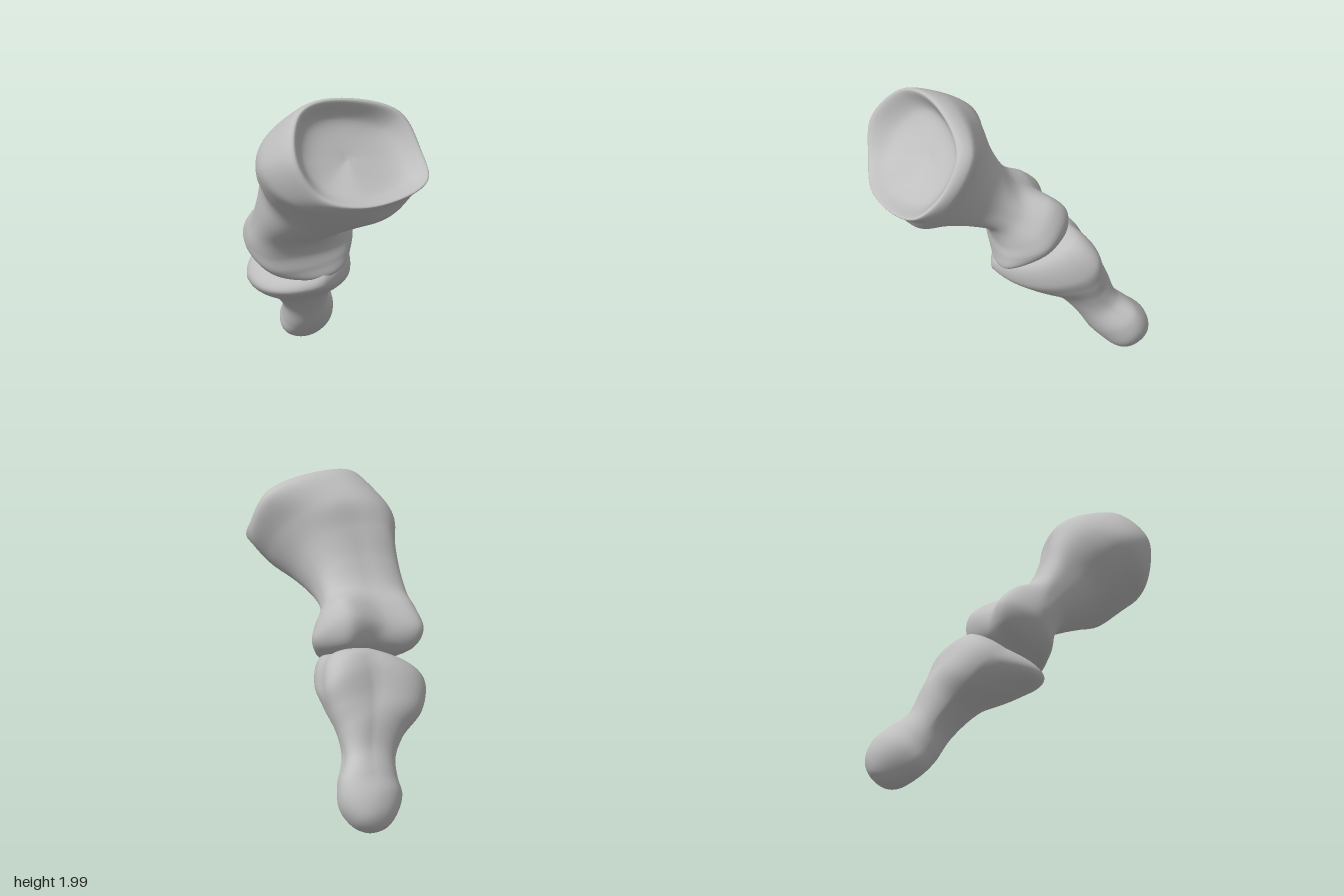
import * as THREE from 'three';
import { mergeVertices } from 'three/addons/utils/BufferGeometryUtils.js';

const SIDES = 72;
const STEPS = 9; // loft steps between two sections

// Free section: closed curve through points running right, dorsal, left, palmar
function curveRing(list) {
  const curve = new THREE.CatmullRomCurve3(list.map((p) => new THREE.Vector3(...p)), true);
  return Array.from({ length: SIDES }, (_, j) => curve.getPoint(j / SIDES));
}

// Oval section through left, dorsal, right and palmar points; square < 1 is boxier
function ovalRing({ L, T, R, B, square = 0.9 }) {
  const [l, t, r, b] = [L, T, R, B].map((p) => new THREE.Vector3(...p));
  const c = l.clone().add(t).add(r).add(b).multiplyScalar(0.25);
  [l, t, r, b].forEach((p) => p.sub(c));
  return Array.from({ length: SIDES }, (_, j) => {
    const a = (j / SIDES) * Math.PI * 2;
    const x = Math.cos(a), y = Math.sin(a);
    return c.clone()
      .addScaledVector(x > 0 ? r : l, Math.pow(Math.abs(x), square))
      .addScaledVector(y > 0 ? t : b, Math.pow(Math.abs(y), square));
  });
}

// Smooth closed loft from a start point through the sections to an end point
function loft(name, start, sections, end, material) {
  const pole = (p) => Array.from({ length: SIDES }, () => new THREE.Vector3(...p));
  const middle = sections.map((s) => (Array.isArray(s) ? curveRing(s) : ovalRing(s)));
  const rings = [pole(start), ...middle, pole(end)];
  const rows = (rings.length - 1) * STEPS;
  const columns = rings[0].map((_, j) => new THREE.CatmullRomCurve3(rings.map((r) => r[j])));
  const position = [], index = [];
  for (let i = 0; i <= rows; i++) {
    for (let j = 0; j < SIDES; j++) {
      position.push(...columns[j].getPoint(i / rows).toArray());
      if (i === rows) continue;
      const k = (j + 1) % SIDES;
      const a = i * SIDES + j, b = i * SIDES + k, c = a + SIDES, d = b + SIDES;
      // single fans of triangles at the two poles
      if (i > 0) index.push(a, c, b);
      if (i < rows - 1) index.push(b, c, d);
    }
  }
  let geometry = new THREE.BufferGeometry();
  geometry.setAttribute('position', new THREE.Float32BufferAttribute(position, 3));
  geometry.setIndex(index);
  geometry = mergeVertices(geometry, 1e-4);
  geometry.computeVertexNormals();
  const mesh = new THREE.Mesh(geometry, material);
  mesh.name = name;
  return mesh;
}

export function createModel() {
  const bone = new THREE.MeshStandardMaterial({ color: 0xbfbfbf });
  bone.name = 'bone grey';
  const model = new THREE.Group();
  model.name = 'fingerBones';

  // Upper bone: hollow socket, rim, flared base, shaft, two-lobed head
  const socket = [[0.33, 1.64, 0.53], [0.27, 1.78, 0.43], [-0.03, 1.86, 0.43], [-0.2, 1.83, 0.5],
    [-0.27, 1.69, 0.62], [-0.19, 1.55, 0.71], [0.02, 1.5, 0.76], [0.31, 1.54, 0.64]];
  const rim = [[0.465, 1.68, 0.58], [0.38, 1.88, 0.46], [-0.06, 1.985, 0.48], [-0.29, 1.94, 0.59],
    [-0.38, 1.74, 0.76], [-0.27, 1.54, 0.82], [0, 1.465, 0.865], [0.43, 1.54, 0.74]];
  const flare = [[0.475, 1.62, 0.54], [0.41, 1.86, 0.38], [-0.06, 1.96, 0.36], [-0.33, 1.87, 0.42],
    [-0.485, 1.65, 0.54], [-0.36, 1.48, 0.72], [0, 1.43, 0.83], [0.41, 1.49, 0.68]];
  const headTop = [[0.31, 1.1, -0.05], [0.2, 1.26, -0.19], [-0.06, 1.22, -0.17], [-0.31, 1.19, -0.17],
    [-0.39, 1.04, -0.05], [-0.3, 0.95, 0.08], [-0.05, 0.96, 0.14], [0.2, 1.0, 0.1]];
  const headMiddle = [[0.34, 1.02, -0.1], [0.2, 1.17, -0.285], [-0.06, 1.1, -0.25], [-0.32, 1.06, -0.28],
    [-0.37, 0.95, -0.09], [-0.27, 0.85, 0.07], [0, 0.86, 0.135], [0.22, 0.92, 0.1]];
  const headEnd = [[0.29, 0.95, -0.12], [0.19, 1.02, -0.28], [0, 0.99, -0.24], [-0.26, 0.94, -0.26],
    [-0.26, 0.85, -0.1], [-0.18, 0.79, 0.04], [0.02, 0.78, 0.125], [0.2, 0.83, 0.1]];
  model.add(loft('upperBone', [0.03, 1.66, 0.53], [
    socket, rim, flare,
    { L: [-0.46, 1.55, 0.37], T: [-0.02, 1.83, 0.21], R: [0.37, 1.5, 0.47], B: [0, 1.33, 0.7] },
    { L: [-0.375, 1.42, 0.22], T: [-0.08, 1.66, 0.15], R: [0.25, 1.39, 0.33], B: [-0.05, 1.24, 0.53], square: 0.8 },
    { L: [-0.37, 1.28, 0.12], T: [-0.1, 1.47, 0.08], R: [0.19, 1.28, 0.18], B: [-0.08, 1.14, 0.35], square: 0.8 },
    { L: [-0.375, 1.15, 0.02], T: [-0.1, 1.32, -0.02], R: [0.21, 1.2, 0.05], B: [-0.08, 1.05, 0.2], square: 0.8 },
    headTop, headMiddle, headEnd,
  ], [0.02, 0.85, -0.07], bone));

  // Lower bone: flared base, tapering shaft, rounded tip
  model.add(loft('lowerBone', [0.03, 0.9, -0.13], [
    { L: [-0.23, 0.8, -0.22], T: [0.08, 0.99, -0.33], R: [0.3, 0.93, -0.2], B: [0.05, 0.82, 0.125], square: 0.85 },
    { L: [-0.305, 0.7, -0.32], T: [0.1, 0.94, -0.405], R: [0.395, 0.77, -0.33], B: [0.03, 0.73, 0.155], square: 0.8 },
    { L: [-0.22, 0.57, -0.44], T: [0.12, 0.78, -0.49], R: [0.38, 0.65, -0.4], B: [0.07, 0.63, 0.02], square: 0.85 },
    { L: [-0.06, 0.46, -0.5], T: [0.17, 0.66, -0.56], R: [0.355, 0.53, -0.47], B: [0.13, 0.51, -0.22] },
    { L: [0.03, 0.35, -0.56], T: [0.22, 0.48, -0.63], R: [0.36, 0.42, -0.55], B: [0.2, 0.34, -0.38] },
    { L: [0.05, 0.24, -0.62], T: [0.27, 0.385, -0.74], R: [0.45, 0.31, -0.65], B: [0.24, 0.18, -0.48] },
    { L: [0.055, 0.16, -0.68], T: [0.28, 0.3, -0.83], R: [0.465, 0.19, -0.7], B: [0.24, 0.07, -0.58] },
    { L: [0.12, 0.1, -0.75], T: [0.28, 0.19, -0.867], R: [0.41, 0.1, -0.77], B: [0.255, 0.012, -0.66] },
    { L: [0.2, 0.05, -0.79], T: [0.27, 0.095, -0.85], R: [0.335, 0.05, -0.795], B: [0.26, 0.005, -0.735] },
  ], [0.267, 0.04, -0.805], bone));

  return model;
}
